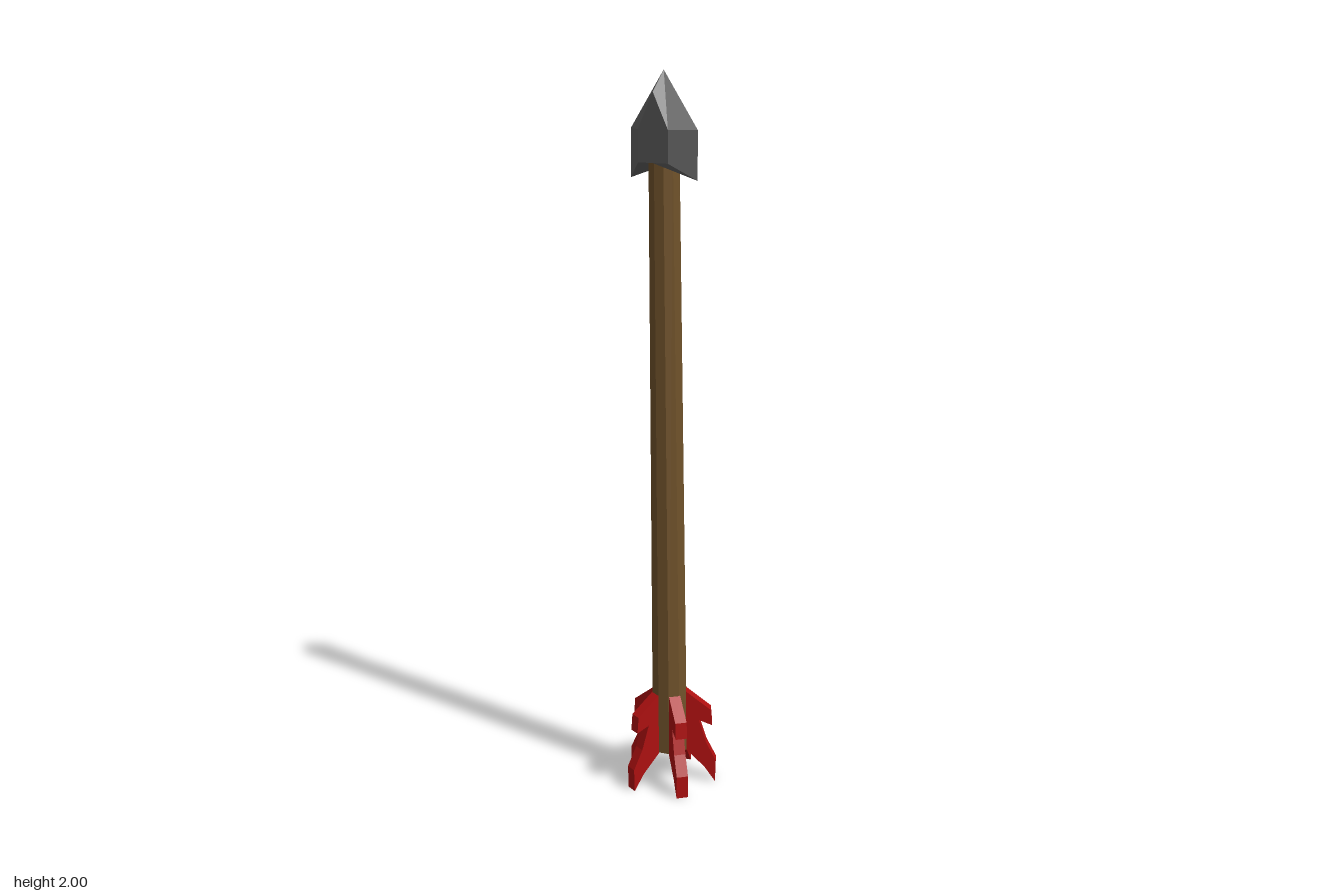
import * as THREE from 'three';

const flat = (name, color) => {
  const m = new THREE.MeshStandardMaterial({ color, flatShading: true });
  m.name = name;
  return m;
};

// One quarter of the head, mirrored into all four quadrants
function headGeometry() {
  const tip = [0, 2, 0], ridge = [0, 1.945, 0.045], foot = [0, 1.765, 0.045], core = [0, 1.765, 0];
  const shoulder = [0.05, 1.85, 0.045], heel = [0.05, 1.765, 0.045];
  const wing = [0.112, 1.85, 0], barb = [0.112, 1.722, 0];
  const faces = [
    [tip, ridge, shoulder], [tip, shoulder, wing],
    [ridge, foot, heel, shoulder], [shoulder, heel, barb, wing],
    [foot, core, barb, heel],
  ];
  const pos = [];
  for (const sx of [1, -1]) for (const sz of [1, -1]) for (const face of faces) {
    const f = face.map(([x, y, z]) => [x * sx, y, z * sz]);
    if (sx * sz < 0) f.reverse();
    for (let i = 1; i < f.length - 1; i++) pos.push(...f[0], ...f[i], ...f[i + 1]);
  }
  const g = new THREE.BufferGeometry();
  g.setAttribute('position', new THREE.Float32BufferAttribute(pos, 3));
  g.computeVertexNormals();
  return g;
}

// Notched feather outline, x measured outward from the shaft axis
function featherGeometry() {
  const outline = [
    [0.02, 0.1], [0.045, 0.1], [0.1, 0.045], [0.131, 0], [0.133, 0.065], [0.105, 0.12],
    [0.083, 0.19], [0.121, 0.175], [0.117, 0.222], [0.045, 0.278], [0.02, 0.278],
  ];
  const shape = new THREE.Shape(outline.map(([x, y]) => new THREE.Vector2(x, y)));
  const thick = 0.033;
  return new THREE.ExtrudeGeometry(shape, { depth: thick, bevelEnabled: false })
    .translate(0, 0, -thick / 2);
}

export function createModel() {
  const wood = flat('wood', 0x70522a);
  const iron = flat('iron', 0x606060);
  const red = flat('redFeather', 0xad1010);
  const group = new THREE.Group();
  group.name = 'arrow';
  const add = (name, geometry, material) => {
    const mesh = new THREE.Mesh(geometry, material);
    mesh.name = name;
    group.add(mesh);
    return mesh;
  };

  // Ten-sided tapered shaft, leaning slightly forward
  const bottom = 0.098, top = 1.8;
  const shaftGeo = new THREE.CylinderGeometry(0.042, 0.051, top - bottom, 10);
  shaftGeo.translate(0, (top + bottom) / 2, 0);
  const p = shaftGeo.attributes.position;
  for (let i = 0; i < p.count; i++) {
    const t = (p.getY(i) - bottom) / (top - bottom);
    p.setX(i, p.getX(i) + 0.003 + 0.005 * t);
    p.setZ(i, p.getZ(i) + 0.032 * t);
  }
  shaftGeo.computeVertexNormals();
  add('shaft', shaftGeo, wood);

  // Head
  add('arrowHead', headGeometry(), iron).position.set(0.007, 0, 0.032);

  // Five feathers around the tail
  const feather = featherGeometry();
  for (let i = 0; i < 5; i++) {
    const mesh = add('feather' + (i + 1), feather, red);
    mesh.position.x = 0.003;
    mesh.rotation.y = Math.PI + (i * Math.PI * 2) / 5;
  }
  return group;
}
